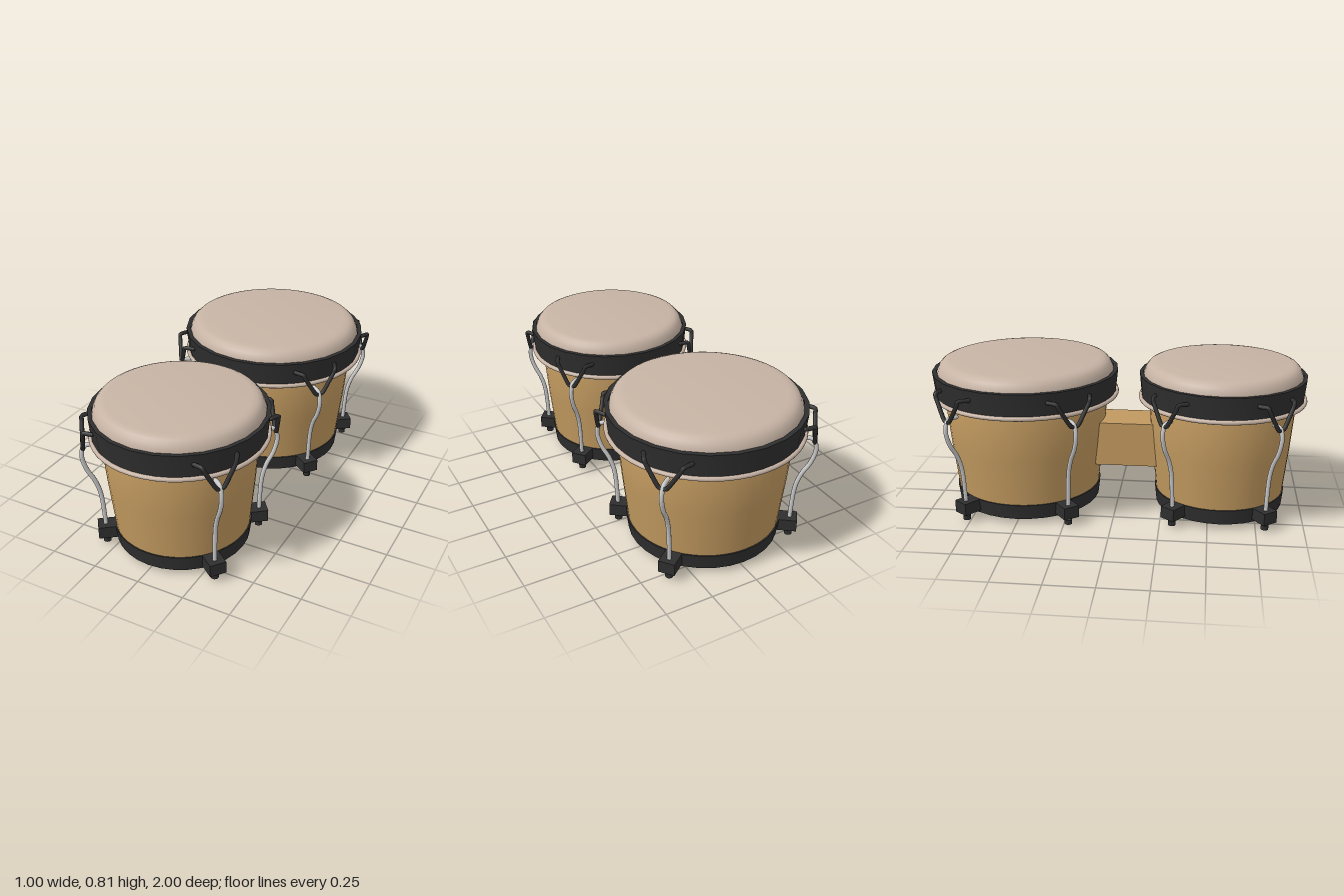
import * as THREE from 'three';
import { toCreasedNormals } from 'three/addons/utils/BufferGeometryUtils.js';

const mat = (name, color) => {
  const m = new THREE.MeshStandardMaterial({ color });
  m.name = name;
  return m;
};

export function createModel() {
  const wood = mat('wood', 0xc1995f);
  const skin = mat('drum skin', 0xc6b3a4);
  const black = mat('black metal', 0x2e2e2e);
  const chrome = mat('chrome', 0xc9c9c9);

  const add = (parent, name, geometry, material, x = 0, y = 0, z = 0) => {
    const mesh = new THREE.Mesh(geometry, material);
    mesh.name = name;
    mesh.position.set(x, y, z);
    parent.add(mesh);
    return mesh;
  };

  // Ring or shell turned from a (radius, height) profile, radii scaled by s
  const turned = (profile, s, segments) => toCreasedNormals(
    new THREE.LatheGeometry(profile.map(([r, y]) => new THREE.Vector2(r * s, y)), segments), 0.6);

  // Bent round bar with rounded ends
  const bar = (parent, name, points, radius, material, tension) => {
    const pts = points.map((p) => new THREE.Vector3(...p));
    const curve = new THREE.CatmullRomCurve3(pts, false, 'catmullrom', tension);
    const mesh = add(parent, name, new THREE.TubeGeometry(curve, 48, radius, 10), material);
    for (const p of [pts[0], pts[pts.length - 1]]) {
      add(mesh, name + 'End', new THREE.SphereGeometry(radius, 10, 8), material, p.x, p.y, p.z);
    }
  };

  // Tension assembly, built with +x pointing outwards from the drum axis
  const tensioner = (s) => {
    const g = new THREE.Group();
    g.name = 'tensioner';
    add(g, 'lugBlock', new THREE.BoxGeometry(0.11, 0.065, 0.085), black, 0.432 * s, 0.0775, 0);
    add(g, 'lugNut', new THREE.CylinderGeometry(0.02, 0.02, 0.024, 12), black, 0.447 * s, 0.014, 0);
    bar(g, 'tensionRod', [
      [0.447, 0.012], [0.449, 0.12], [0.46, 0.28], [0.486, 0.37], [0.525, 0.44],
      [0.546, 0.51], [0.54, 0.56], [0.52, 0.582], [0.475, 0.583],
    ].map(([r, y]) => [r * s, y, 0]), 0.0115, chrome, 0.5);
    const half = [[0.48, 0.698, 0.118], [0.527, 0.698, 0.094], [0.53, 0.675, 0.084],
      [0.535, 0.59, 0.032], [0.535, 0.57, 0.015]];
    const claw = [...half, ...half.map(([r, y, t]) => [r, y, -t]).reverse()];
    bar(g, 'rimClaw', claw.map(([r, y, t]) => [r * s, y, t * s]), 0.011, black, 0.25);
    return g;
  };

  const drum = (name, s, z) => {
    const g = new THREE.Group();
    g.name = name;
    g.position.z = z;
    // Hollow tapering shell
    add(g, 'shell', turned([[0.31, 0.035], [0.383, 0.035], [0.392, 0.13], [0.418, 0.36], [0.442, 0.625],
      [0.385, 0.79], [0.385, 0.625], [0.355, 0.36], [0.31, 0.035]], s, 48), wood);
    // Bottom band
    add(g, 'bottomBand', turned([[0.345, 0.03], [0.388, 0.03], [0.398, 0.11], [0.38, 0.11],
      [0.345, 0.03]], s, 32), black);
    // Skin with rounded shoulder and its underside
    add(g, 'drumSkin', turned([[0.43, 0.616], [0.483, 0.616], [0.474, 0.74], [0.468, 0.762], [0.456, 0.785],
      [0.44, 0.8], [0.42, 0.808], [0.395, 0.811], [0, 0.811]], s, 48), skin);
    add(g, 'skinUnderside', turned([[0, 0.785], [0.4, 0.785]], s, 48), skin);
    // Bead under the rim
    const bead = add(g, 'rimBead', new THREE.TorusGeometry(0.49 * s, 0.0115, 10, 48), skin, 0, 0.62, 0);
    bead.rotation.x = Math.PI / 2;
    // Rim band
    add(g, 'rimBand', turned([[0.468, 0.628], [0.486, 0.628], [0.499, 0.748], [0.476, 0.748],
      [0.468, 0.628]], s, 24), black);
    // Four tensioners, mirrored about both axes
    const a = THREE.MathUtils.degToRad(37.5);
    for (const angle of [a, -a, Math.PI - a, Math.PI + a]) {
      const t = tensioner(s);
      t.rotation.y = angle;
      g.add(t);
    }
    return g;
  };

  const model = new THREE.Group();
  model.name = 'twinDrums';
  model.add(drum('largeDrum', 1, -0.5), drum('smallDrum', 0.885, 0.557));
  // Wooden block joining the drums
  add(model, 'bridgeBlock', new THREE.BoxGeometry(0.235, 0.238, 0.33), wood, 0, 0.366, 0.053);
  return model;
}
